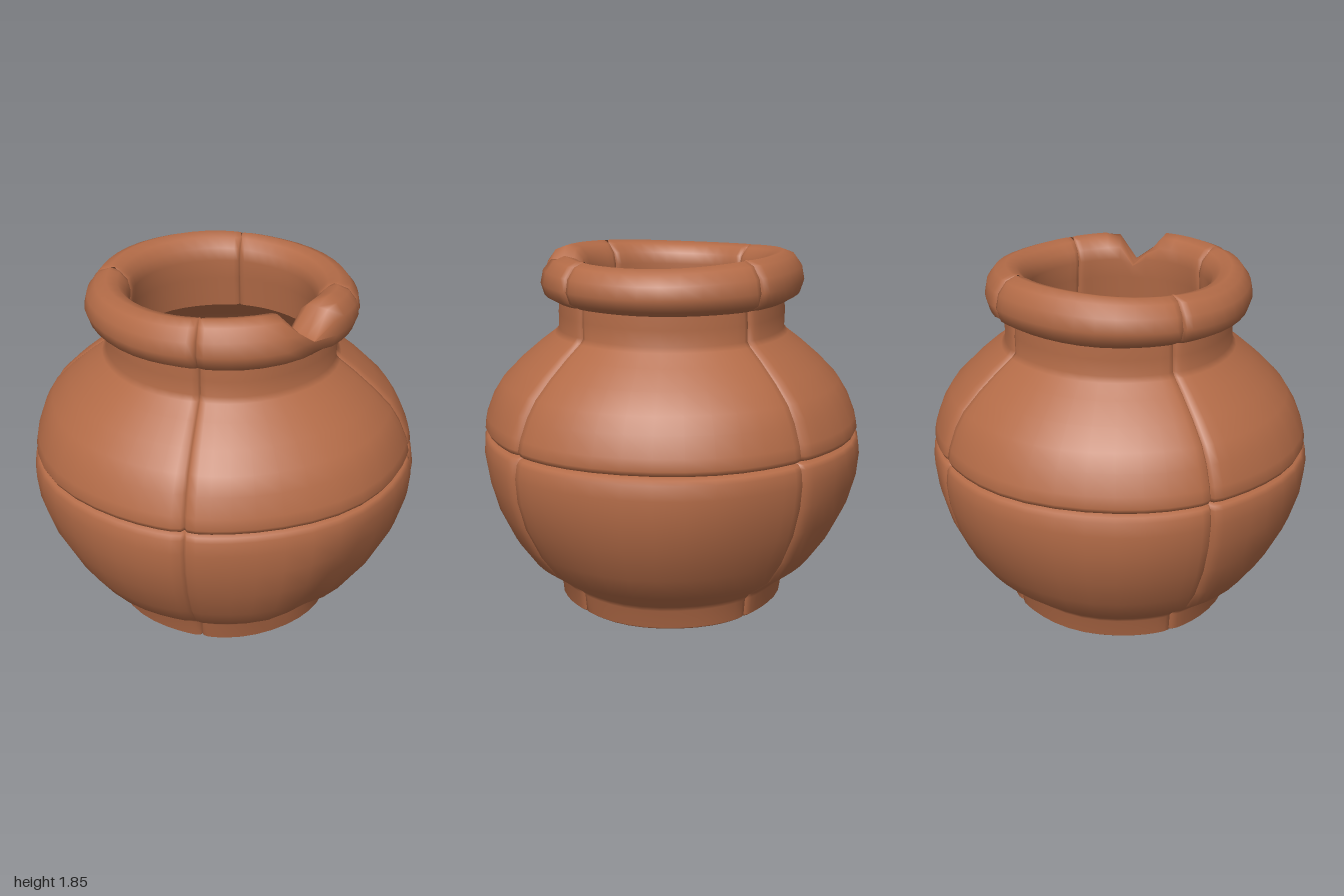
import * as THREE from 'three';

const COLUMNS = 16;

// Outlines as [radius, height]; outer ones run upward, inner ones downward
const PROFILES = {
  lowerShard: [[0, 0.07], [0.3, 0.055], [0.52, 0.03], [0.58, 0.005], [0.6, 0.02], [0.61, 0.115], [0.64, 0.15],
    [0.78, 0.26], [0.87, 0.39], [0.95, 0.56], [0.99, 0.71], [1.0, 0.83], [0.99, 0.9], [0.975, 0.92], [0.94, 0.93]],
  upperShard: [[0.94, 0.93], [0.97, 0.94], [0.982, 0.965], [0.97, 1.02], [0.93, 1.12], [0.88, 1.2],
    [0.79, 1.29], [0.69, 1.375], [0.61, 1.435], [0.588, 1.46], [0.59, 1.54], [0.585, 1.63]],
  rimShard: [[0.57, 1.605], [0.61, 1.61], [0.665, 1.64], [0.685, 1.7], [0.672, 1.765], [0.63, 1.82], [0.575, 1.84],
    [0.52, 1.825], [0.48, 1.78], [0.465, 1.72], [0.475, 1.62], [0.49, 1.46]],
  innerShard: [[0.49, 1.46], [0.6, 1.36], [0.76, 1.2], [0.86, 1.0], [0.89, 0.8], [0.84, 0.56],
    [0.72, 0.38], [0.55, 0.26], [0.3, 0.16], [0, 0.11]],
};

// Hand-made unevenness, chipped lip and dented belly
function weather(r, y, phi) {
  r *= 1 + 0.006 * Math.sin(3 * phi + 4 * y) + 0.004 * Math.sin(7 * phi - 5 * y);
  if (y > 1.6) {
    const away = Math.abs(phi - 0.9);
    y += (y - 1.6) * 0.06 * Math.sin(2 * phi + 0.6);
    y = Math.min(y, 1.65 + away * 0.9);
    r = Math.min(r, 0.61 + away * 0.45);
  } else if (y > 0.13 && r > 0.6) {
    const d = ((phi - 0.85) / 0.2) ** 2 + ((y - 0.45 - (phi - 0.85) * 0.8) / 0.2) ** 2;
    r -= 0.05 * Math.exp(-d);
  }
  return [r, y];
}

// One quarter of the pot, with its side edges rounded into a seam
function shard(profile, quarter, kind) {
  const points = profile.map(([r, y]) => new THREE.Vector2(r, y));
  const geometry = new THREE.LatheGeometry(points, COLUMNS, 0, Math.PI / 2);
  const position = geometry.attributes.position;
  for (let i = 0; i <= COLUMNS; i++) {
    // Columns gather near the seams
    const phi = (quarter + 0.5 - 0.5 * Math.cos(Math.PI * i / COLUMNS)) * Math.PI / 2;
    const edge = Math.min(i, COLUMNS - i);
    const groove = edge === 0 ? 0.028 : edge === 1 ? 0.008 : 0;
    profile.forEach(([r0, y0], j) => {
      let [r, y] = weather(r0, y0, phi);
      const side = kind === 'innerShard' ? 0 : kind === 'rimShard' && r0 < 0.55 ? -1 : 1;
      r -= side * groove * Math.min(1, r0 * 1.5);
      position.setXYZ(i * profile.length + j, r * Math.sin(phi), y, r * Math.cos(phi) * 0.98);
    });
  }
  geometry.computeVertexNormals();
  return geometry;
}

export function createModel() {
  const pot = new THREE.Group();
  pot.name = 'clayPot';
  const clay = new THREE.MeshStandardMaterial({ color: 0xb36b47, side: THREE.DoubleSide });
  clay.name = 'terracotta';

  for (const [kind, profile] of Object.entries(PROFILES)) {
    const ring = new THREE.Group();
    ring.name = kind + 's';
    for (let quarter = 0; quarter < 4; quarter++) {
      const mesh = new THREE.Mesh(shard(profile, quarter, kind), clay);
      mesh.name = kind + (quarter + 1);
      ring.add(mesh);
    }
    pot.add(ring);
  }
  return pot;
}
